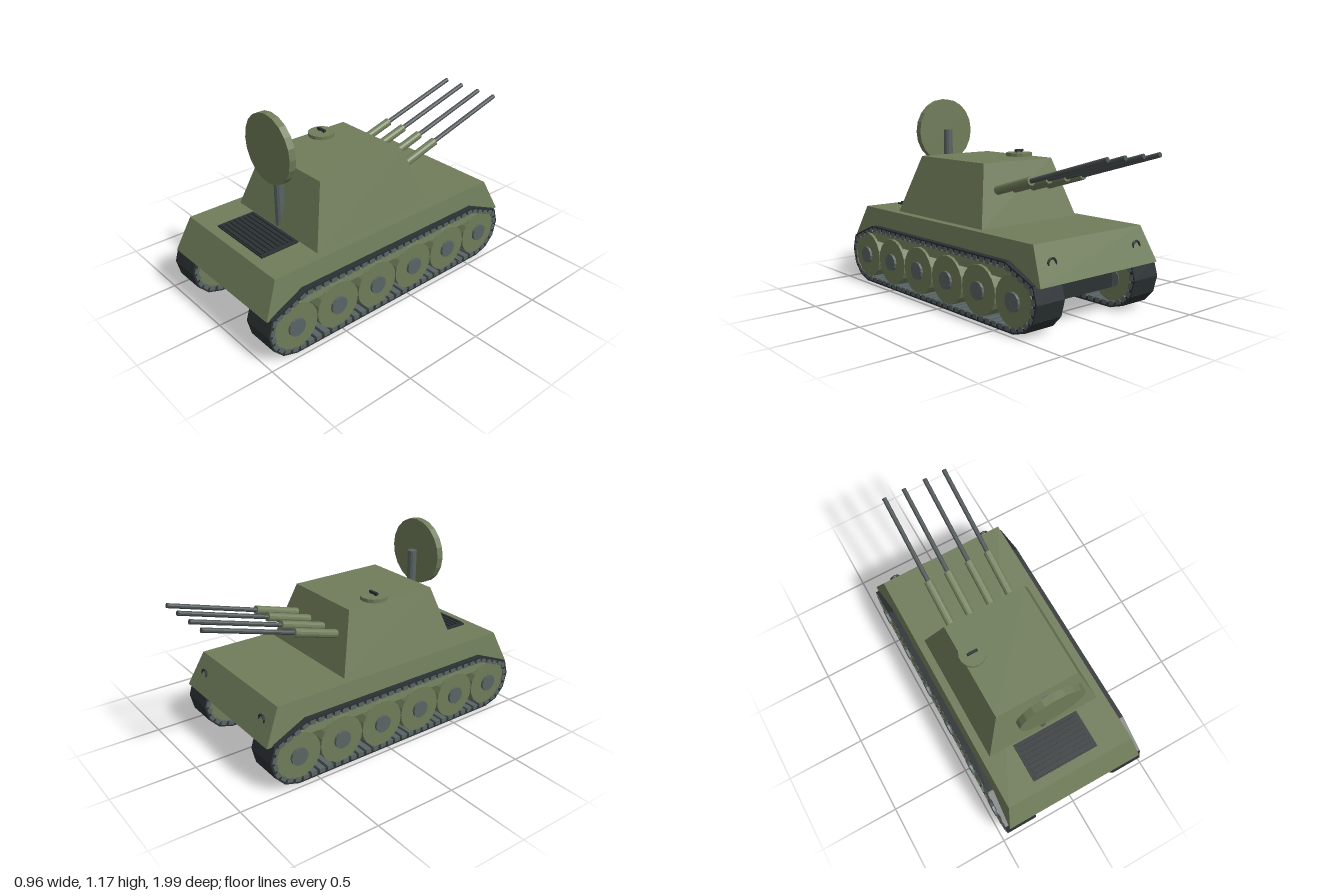
import * as THREE from 'three';

const mat = (color) => new THREE.MeshStandardMaterial({ color, flatShading: true });
const GREEN = mat(0x6f7c5a), DARK = mat(0x2b3133), STEEL = mat(0x5a6464), GUN = mat(0x4a5152);

function add(parent, name, geometry, material, x = 0, y = 0, z = 0) {
  const mesh = new THREE.Mesh(geometry, material);
  mesh.name = name;
  mesh.position.set(x, y, z);
  parent.add(mesh);
  return mesh;
}

// Box whose top and bottom rectangles differ: each is [halfWidth, zBack, zFront, y]
function taperedBox(bottom, top) {
  const geo = new THREE.BoxGeometry(2, 2, 2);
  const p = geo.attributes.position;
  for (let i = 0; i < p.count; i++) {
    const [w, z0, z1, y] = p.getY(i) > 0 ? top : bottom;
    p.setXYZ(i, p.getX(i) * w, y, p.getZ(i) < 0 ? z0 : z1);
  }
  geo.computeVertexNormals();
  return geo;
}

// Cylinder lying between two points
function rod(parent, name, a, b, radius, material, sides = 12) {
  const dir = b.clone().sub(a);
  const mesh = add(parent, name, new THREE.CylinderGeometry(radius, radius, dir.length(), sides), material);
  mesh.position.copy(a).add(b).multiplyScalar(0.5);
  mesh.quaternion.setFromUnitVectors(new THREE.Vector3(0, 1, 0), dir.normalize());
  return mesh;
}

// Track loop as [z, y] corners
const LOOP = [[0.74, 0.37], [0.95, 0.285], [0.975, 0.2], [0.952, 0.11], [0.895, 0.05], [0.81, 0.024],
  [-0.615, 0.024], [-0.7, 0.05], [-0.757, 0.11], [-0.78, 0.2], [-0.755, 0.285], [-0.55, 0.37]];

function createTrack(side) {
  const track = new THREE.Group();
  track.name = side > 0 ? 'leftTrack' : 'rightTrack';
  const x = side * 0.37;
  const points = LOOP.map(([z, y]) => new THREE.Vector3(x, y, z));
  const path = new THREE.CurvePath();

  // Belt, one flat piece per straight run
  points.forEach((a, i) => {
    const b = points[(i + 1) % points.length];
    path.add(new THREE.LineCurve3(a, b));
    const belt = add(track, 'trackBelt', new THREE.BoxGeometry(0.196, 0.024, a.distanceTo(b) + 0.008), DARK);
    belt.position.copy(a).add(b).multiplyScalar(0.5);
    belt.rotation.x = -Math.atan2(b.y - a.y, b.z - a.z);
  });

  // Raised plates spaced round the belt
  const padGeo = new THREE.BoxGeometry(0.2, 0.026, 0.036);
  const count = 72;
  for (let i = 0; i < count; i++) {
    const t = (i + 0.5) / count;
    const d = path.getPoint(t + 0.004).sub(path.getPoint(t - 0.004)).normalize();
    const pad = add(track, 'trackPlate', padGeo, STEEL);
    // the loop runs forward, down, then back, so outward is (dy, -dz) turned a quarter
    pad.position.copy(path.getPoint(t)).add(new THREE.Vector3(0, d.z, -d.y).multiplyScalar(i < 0 ? 0 : -0.011));
    pad.rotation.x = -Math.atan2(d.y, d.z);
  }

  // Road wheels with hubs
  const wheelGeo = new THREE.CylinderGeometry(0.141, 0.141, 0.18, 20).rotateZ(Math.PI / 2);
  const hubGeo = new THREE.CylinderGeometry(0.053, 0.053, 0.2, 12).rotateZ(Math.PI / 2);
  for (let i = 0; i < 6; i++) {
    const z = 0.81 - i * 0.285;
    add(track, 'roadWheel', wheelGeo, GREEN, x + side * 0.005, 0.184, z);
    add(track, 'wheelHub', hubGeo, STEEL, side * 0.38, 0.184, z);
  }
  return track;
}

export function createModel() {
  const model = new THREE.Group();
  model.name = 'antiAircraftTank';

  // Hull and turret
  add(model, 'upperHull', taperedBox([0.45, -0.8, 0.98, 0.285], [0.413, -0.705, 0.892, 0.487]), GREEN);
  add(model, 'lowerHull', new THREE.BoxGeometry(0.56, 0.135, 1.45), DARK, 0, 0.198, 0.105);
  add(model, 'turret', taperedBox([0.365, -0.24, 0.582, 0.487], [0.262, -0.132, 0.472, 0.836]), GREEN);

  for (const side of [-1, 1]) {
    model.add(createTrack(side));
    // Tow ring half sunk in the sloping end plate
    add(model, 'towRing', new THREE.TorusGeometry(0.028, 0.007, 6, 16), DARK, side * 0.325, 0.385, -0.75);
  }

  // Four raised guns
  const onGun = (x, z) => new THREE.Vector3(x, 0.765 - (z + 0.46) * 0.287, z);
  for (const x of [-0.2, -0.07, 0.07, 0.2]) {
    const gun = new THREE.Group();
    gun.name = 'gun';
    rod(gun, 'gunSleeve', onGun(x, -0.17), onGun(x, -0.458), 0.026, GREEN);
    rod(gun, 'gunBarrel', onGun(x, -0.4), onGun(x, -0.996), 0.014, GUN, 10);
    model.add(gun);
  }

  // Radar on its mast
  add(model, 'radarMast', new THREE.CylinderGeometry(0.028, 0.028, 0.5, 12), STEEL, 0, 0.735, 0.553);
  const dish = new THREE.CylinderGeometry(0.202, 0.202, 0.042, 20).rotateX(Math.PI / 2);
  add(model, 'radarDish', dish, GREEN, 0, 0.976, 0.597);

  // Roof hatch with handle
  add(model, 'hatch', new THREE.CylinderGeometry(0.08, 0.08, 0.022, 14), GREEN, -0.2, 0.846, 0.09);
  add(model, 'hatchHandle', new THREE.BoxGeometry(0.066, 0.014, 0.014), DARK, -0.2, 0.87, 0.09);
  for (const dx of [-0.02, 0.02]) {
    add(model, 'handlePost', new THREE.BoxGeometry(0.008, 0.012, 0.01), DARK, -0.2 + dx, 0.86, 0.09);
  }

  // Engine grille
  add(model, 'grillePlate', new THREE.BoxGeometry(0.428, 0.01, 0.24), DARK, 0, 0.491, 0.712);
  for (let i = 0; i < 8; i++) {
    add(model, 'grilleSlat', new THREE.BoxGeometry(0.39, 0.008, 0.016), DARK, 0, 0.5, 0.61 + i * 0.0295);
  }
  return model;
}
